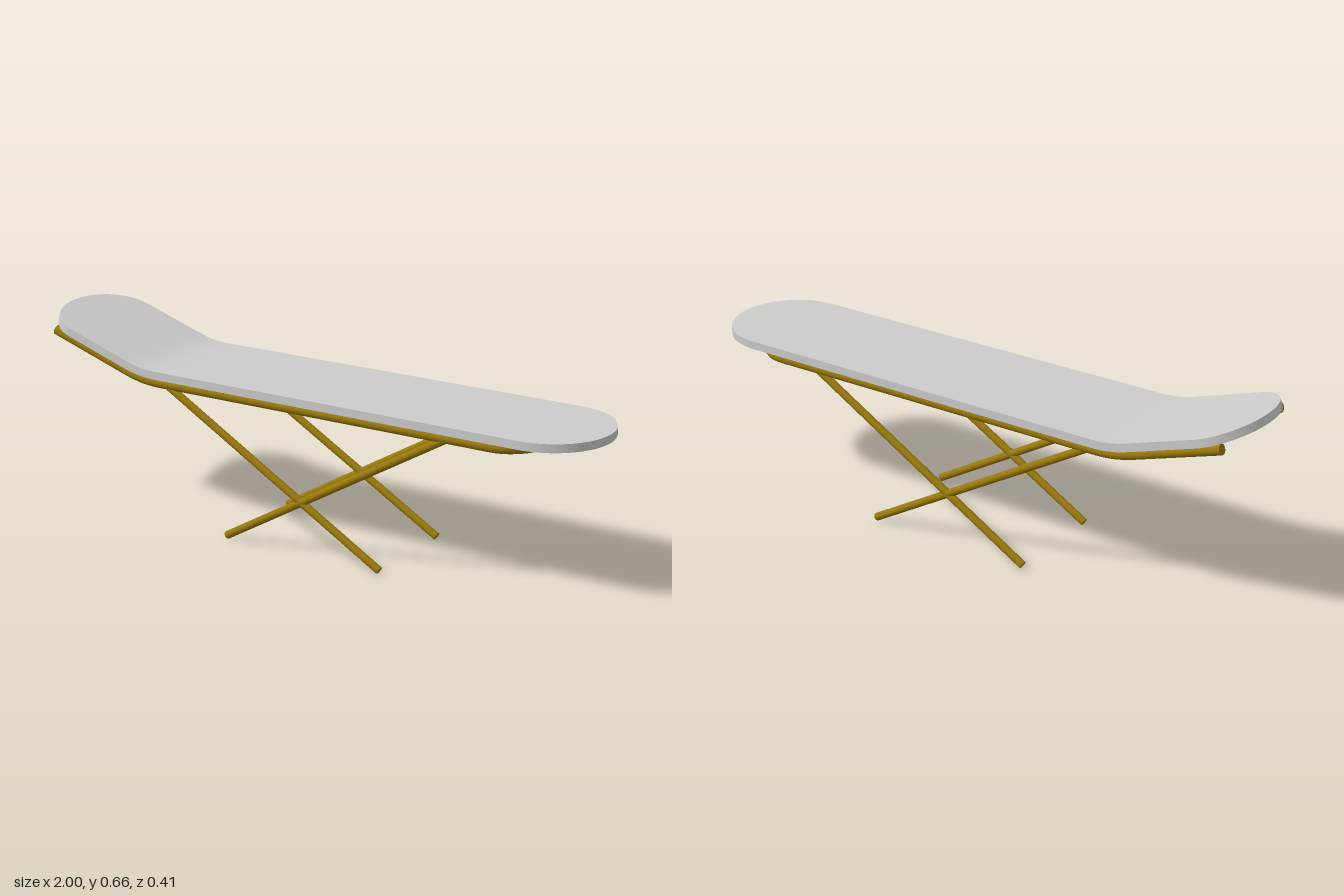
import * as THREE from 'three';

const LENGTH = 2, HALF_WIDTH = 0.205, THICK = 0.027, UNDERSIDE = 0.5;
const BEND_START = -0.52, BEND_END = -0.64, SLOPE = 0.325;
const RAIL_Z = 0.178, RAIL_R = 0.017, LEG_R = 0.013;

// Underside of the board: flat, then a rounded bend up to the raised headrest.
function slopeAt(x) {
  return -SLOPE * THREE.MathUtils.clamp((BEND_START - x) / (BEND_START - BEND_END), 0, 1);
}
function undersideAt(x) {
  const d = BEND_START - x, w = BEND_START - BEND_END;
  if (d <= 0) return UNDERSIDE;
  return UNDERSIDE + (d < w ? SLOPE * d * d / (2 * w) : SLOPE * (d - w / 2));
}
// Point at a perpendicular height above the underside.
function onBoard(x, height, z) {
  const s = slopeAt(x), n = Math.hypot(1, s);
  return new THREE.Vector3(x - s / n * height, undersideAt(x) + height / n, z);
}

// Plan outline: elliptical ends, tighter at the headrest.
function halfWidthAt(x) {
  const t = Math.max(0, (x - 0.8) / 0.2, (-0.865 - x) / 0.135);
  return HALF_WIDTH * Math.max(0.02, Math.sqrt(Math.max(0, 1 - t * t)));
}

function boardGeometry() {
  const geo = new THREE.BoxGeometry(LENGTH, 1, 2, 128, 1, 10);
  const pos = geo.attributes.position;
  for (let i = 0; i < pos.count; i++) {
    // Crowd the stations towards the rounded ends.
    const x = Math.sin(pos.getX(i) * Math.PI / 2);
    const p = onBoard(x, (pos.getY(i) + 0.5) * THICK, pos.getZ(i) * halfWidthAt(x));
    pos.setXYZ(i, p.x, p.y, p.z);
  }
  geo.computeVertexNormals();
  return geo;
}

// U-shaped rail: open at the headrest, rounded at the foot.
function railCurve() {
  const pts = [], side = [];
  for (const x of [-0.935, -0.86, -0.77, -0.68, -0.64, -0.6, -0.56, -0.52, -0.47, -0.3, 0, 0.3, 0.55, 0.65]) side.push(x);
  side.forEach(x => pts.push(onBoard(x, -0.016, RAIL_Z)));
  for (let i = 0; i <= 12; i++) {
    const a = Math.PI * (0.5 - i / 12);
    pts.push(onBoard(0.7 + 0.13 * Math.cos(a), -0.016, RAIL_Z * Math.sin(a)));
  }
  side.reverse().forEach(x => pts.push(onBoard(x, -0.016, -RAIL_Z)));
  return new THREE.CatmullRomCurve3(pts, false, 'centripetal');
}

export function createModel() {
  const model = new THREE.Group();
  model.name = 'ironingBoard';
  const grey = new THREE.MeshStandardMaterial({ color: 0xcccccc });
  const brass = new THREE.MeshStandardMaterial({ color: 0x98780c });

  const add = (name, geo, mat, parent = model) => {
    const mesh = new THREE.Mesh(geo, mat);
    mesh.name = name;
    parent.add(mesh);
    return mesh;
  };

  add('boardTop', boardGeometry(), grey);

  // Rail with flat end caps
  const frame = new THREE.Group();
  frame.name = 'frame';
  model.add(frame);
  const curve = railCurve();
  add('rail', new THREE.TubeGeometry(curve, 200, RAIL_R, 16, false), brass, frame);
  for (const t of [0, 1]) {
    const cap = add('railCap', new THREE.CircleGeometry(RAIL_R, 16), brass, frame);
    const out = curve.getTangentAt(t).multiplyScalar(t ? 1 : -1);
    cap.position.copy(curve.getPointAt(t));
    cap.quaternion.setFromUnitVectors(new THREE.Vector3(0, 0, 1), out);
  }

  // Crossed straight legs, one pair on each side
  const leg = (name, x0, x1, z) => {
    const top = new THREE.Vector3(x0, 0.482, z), foot = new THREE.Vector3(x1, 0.0115, z);
    const dir = top.clone().sub(foot);
    const mesh = add(name, new THREE.CylinderGeometry(LEG_R, LEG_R, dir.length(), 16), brass);
    mesh.position.copy(top).add(foot).multiplyScalar(0.5);
    mesh.quaternion.setFromUnitVectors(new THREE.Vector3(0, 1, 0), dir.normalize());
  };
  for (const z of [RAIL_Z, -RAIL_Z]) {
    leg('headLeg', -0.49, 0.318, z);
    leg('footLeg', 0.55, -0.258, z);
  }
  return model;
}
